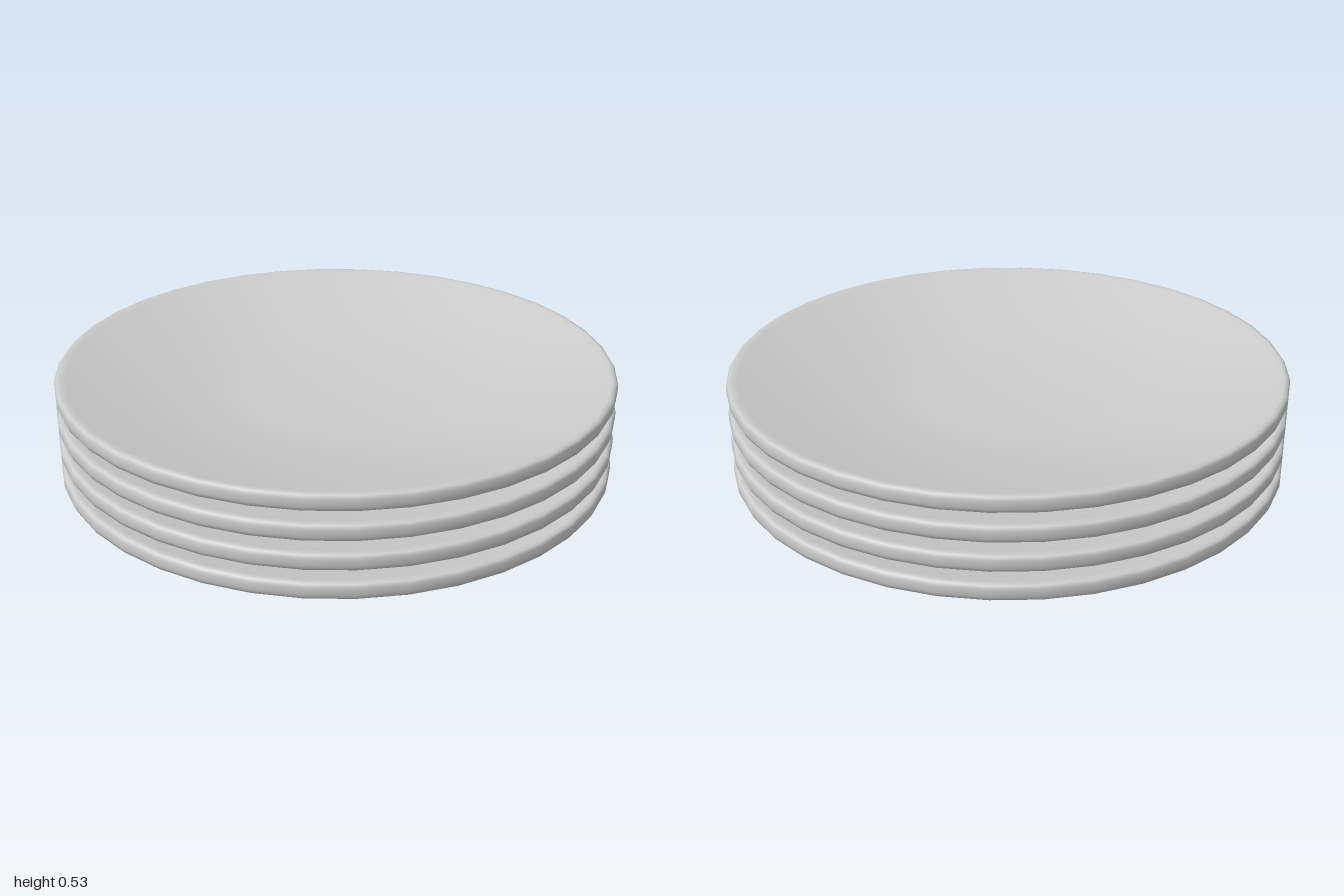
import * as THREE from 'three';

const PLATES = 4;
const SPACING = 0.103;
const SIDES = 38;

// Closed cross-section: underside from the centre out, rim, then the dished top back in.
const PROFILE = [
  [0, 0], [0.33, 0.003], [0.5, 0.03], [0.66, 0.068], [0.82, 0.11], [0.97, 0.157],
  [0.993, 0.17], [1, 0.185], [1, 0.212], [0.993, 0.222], [0.98, 0.225], [0.96, 0.219],
  [0.82, 0.18], [0.66, 0.143], [0.5, 0.112], [0.33, 0.093], [0, 0.09],
];

export function createModel() {
  const group = new THREE.Group();
  group.name = 'plateStack';
  const material = new THREE.MeshStandardMaterial({ color: 0xcccccc });
  const points = PROFILE.map(([r, y]) => new THREE.Vector2(r, y));
  const geometry = new THREE.LatheGeometry(points, SIDES, Math.PI / 2);

  // Identical plates nested one above another
  for (let i = 0; i < PLATES; i++) {
    const plate = new THREE.Mesh(geometry, material);
    plate.name = `plate${i + 1}`;
    plate.position.y = i * SPACING;
    group.add(plate);
  }
  return group;
}
